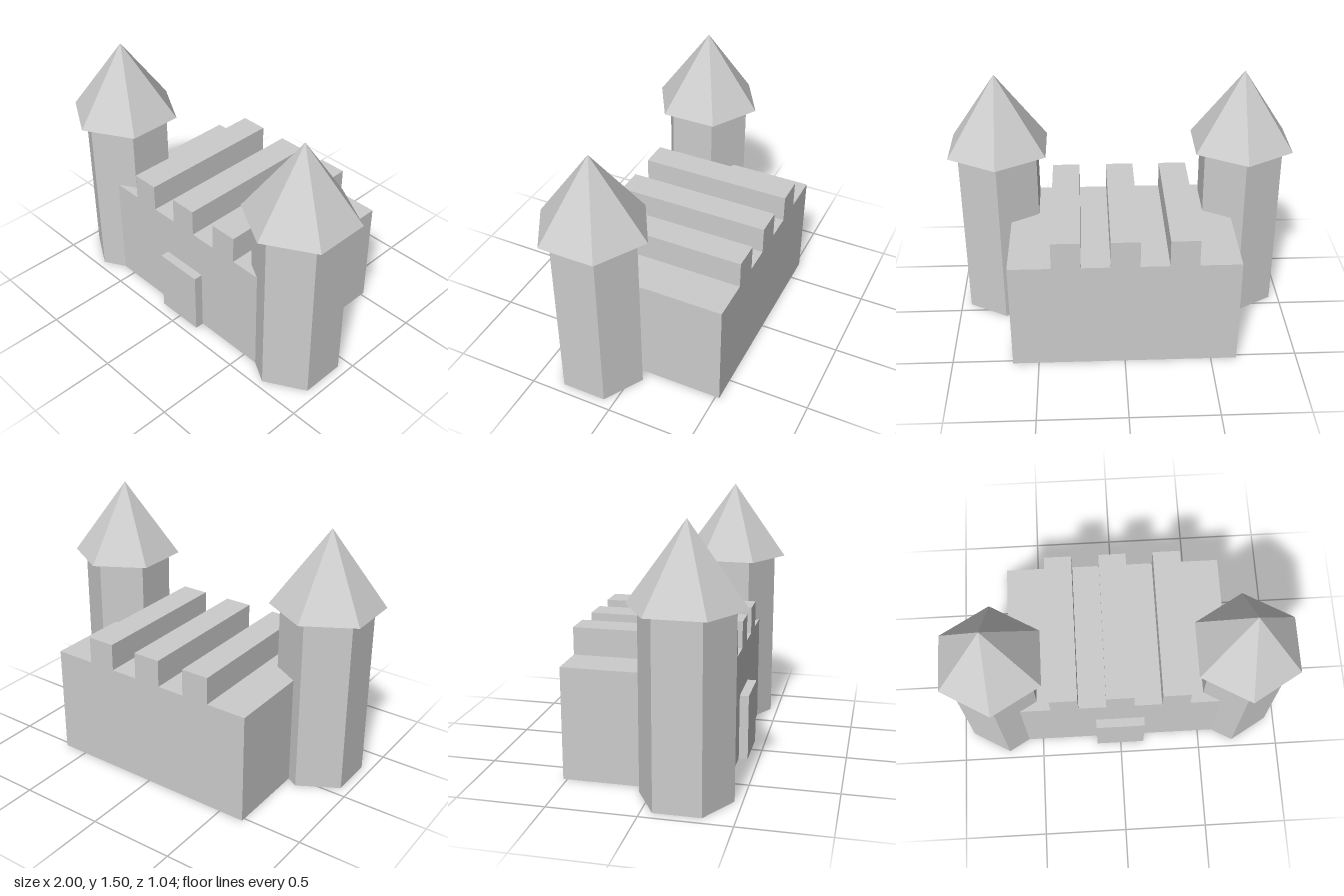
import * as THREE from 'three';

export function createModel() {
  const castle = new THREE.Group();
  castle.name = 'castle';
  const material = new THREE.MeshStandardMaterial({ color: 0xcccccc, flatShading: true });

  const add = (name, geometry, x, y, z) => {
    const mesh = new THREE.Mesh(geometry, material);
    mesh.name = name;
    mesh.position.set(x, y, z);
    castle.add(mesh);
  };

  // Keep: crenellated outline extruded from back to front
  const wallTop = 0.655, merlonTop = 0.815, halfWidth = 0.65, halfMerlon = 0.082;
  const outline = new THREE.Shape();
  outline.moveTo(-halfWidth, 0);
  outline.lineTo(halfWidth, 0);
  outline.lineTo(halfWidth, wallTop);
  for (const x of [0.326, -0.002, -0.33]) {
    outline.lineTo(x + halfMerlon, wallTop);
    outline.lineTo(x + halfMerlon, merlonTop);
    outline.lineTo(x - halfMerlon, merlonTop);
    outline.lineTo(x - halfMerlon, wallTop);
  }
  outline.lineTo(-halfWidth, wallTop);
  outline.closePath();
  add('keep', new THREE.ExtrudeGeometry(outline, { depth: 0.907, bevelEnabled: false }), 0, 0, -0.523);

  // Door slab standing proud of the front wall
  add('door', new THREE.BoxGeometry(0.295, 0.39, 0.1), -0.002, 0.195, 0.387);

  // Hexagonal corner towers with overhanging pointed roofs
  for (const [side, s] of [['left', 1], ['right', -1]]) {
    const x = s * 0.717, z = 0.195;
    add(side + 'Tower', new THREE.CylinderGeometry(0.262, 0.262, 1.05, 6), x, 0.525, z);
    add(side + 'Roof', new THREE.ConeGeometry(0.325, 0.45, 6), x, 1.275, z);
  }

  return castle;
}
